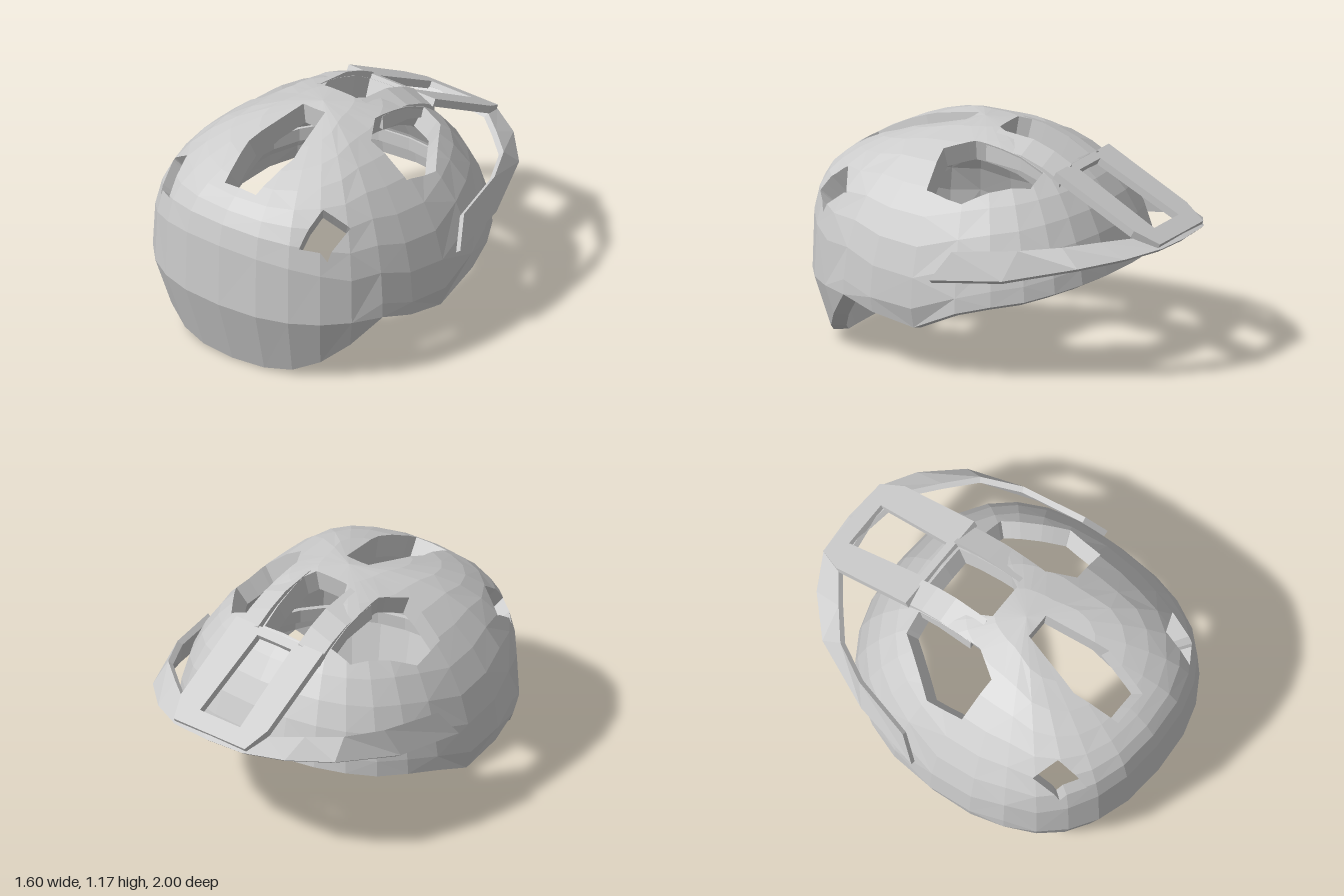
import * as THREE from 'three';

const V = (x, y, z) => new THREE.Vector3(x, y, z);
const BASE = 0.35, HIGH = 0.82, ZC = 0.15;
const CORE = V(0, 0.05, ZC);
const COLS = 28, ROWS = 8;

const material = (double) => new THREE.MeshStandardMaterial({
  color: 0xcccccc, flatShading: true, side: double ? THREE.DoubleSide : THREE.FrontSide,
});

// Builds a flat-shaded mesh from convex polygons
function polyMesh(name, polys, double) {
  const pos = [];
  for (const p of polys) {
    for (let i = 1; i < p.length - 1; i++) {
      for (const v of [p[0], p[i], p[i + 1]]) pos.push(v.x, v.y, v.z);
    }
  }
  const g = new THREE.BufferGeometry();
  g.setAttribute('position', new THREE.Float32BufferAttribute(pos, 3));
  g.computeVertexNormals();
  const m = new THREE.Mesh(g, material(double));
  m.name = name;
  return m;
}

// Rounded egg outline seen from above
function outline(a) {
  const p = (v) => Math.sign(v) * Math.pow(Math.abs(v), 2 / 2.4);
  return { x: 0.79 * p(Math.sin(a)), z: 0.85 * p(Math.cos(a)) };
}

// Height of the lower rim along the length: low nape, notch, ear guard, rising brow
const RIM = [[-0.7, 0.51], [-0.4, 0.43], [-0.2, 0.4], [-0.05, 0.35], [0.12, 0.25], [0.3, 0.27],
  [0.57, 0.36], [0.72, 0.21], [0.86, 0.08], [0.93, 0.03], [1, 0]];
function rimHeight(z) {
  const i = Math.max(1, RIM.findIndex(([rz]) => z <= rz + 1e-6));
  const [z0, y0] = RIM[i - 1], [z1, y1] = RIM[i];
  return y0 + (y1 - y0) * (z - z0) / (z1 - z0);
}

// One column of the dome, from rim to crown; the back is upright with a sloping top
function column(i) {
  const a = (i / COLS) * Math.PI * 2;
  const o = outline(a);
  const f = Math.cos(a);
  const back = f > 0 ? f * f : 0;
  const n = 2 + (f > 0 ? 2 : 0.2) * f * f;
  const rim = rimHeight(ZC + o.z);
  const at = (c, y) => V(o.x * c, y, ZC + o.z * c);
  const y0 = Math.max(rim + 0.08, 0.36);
  const phi0 = Math.asin(Math.pow((y0 - BASE) / HIGH, n / 2));
  const rimSpread = rim < BASE ? 1 - 0.38 * (BASE - rim)
    : Math.pow(1 - Math.pow((rim - BASE) / HIGH, n), 1 / n);
  const pts = [at(rimSpread, rim)];
  for (let j = 0; j < ROWS; j++) {
    const phi = phi0 + (Math.PI / 2 - phi0) * j / ROWS;
    const c = Math.pow(Math.cos(phi), 2 / n);
    const drop = 0.17 * back * c * (1 - Math.pow(c, 8));
    pts.push(at(c, BASE + HIGH * Math.pow(Math.sin(phi), 2 / n) - drop));
  }
  pts.push(V(0, BASE + HIGH, ZC));
  return pts;
}

// Vent openings in plan (x, z); the side ones are mirrored
const SIDE_VENTS = [
  [[0.27, -0.33], [0.385, -0.32], [0.585, -0.03], [0.565, 0.18], [0.35, 0.2], [0.265, 0.06]],
  [[0.44, 0.7], [0.57, 0.64], [0.54, 0.79], [0.42, 0.87]],
];
const VENTS = [
  [[-0.12, -0.38], [0.12, -0.38], [0.13, -0.05], [0.1, 0.01], [-0.1, 0.01], [-0.13, -0.05]],
  [[-0.07, 0.22], [0.07, 0.22], [0.145, 0.57], [0.1, 0.82], [-0.1, 0.82], [-0.145, 0.57]],
  ...SIDE_VENTS, ...SIDE_VENTS.map((h) => h.map(([x, z]) => [-x, z]).reverse()),
];
const sideOf = (p, [ax, az], [bx, bz]) => (bx - ax) * (p.z - az) - (bz - az) * (p.x - ax);

// Splits a polygon by a vertical plane
function split(poly, a, b) {
  const inside = [], outside = [];
  poly.forEach((p, i) => {
    const q = poly[(i + 1) % poly.length];
    const dp = sideOf(p, a, b), dq = sideOf(q, a, b);
    if (dp >= -1e-9) inside.push(p);
    if (dp <= 1e-9) outside.push(p);
    if ((dp > 1e-9 && dq < -1e-9) || (dp < -1e-9 && dq > 1e-9)) {
      const c = p.clone().lerp(q, dp / (dp - dq));
      inside.push(c);
      outside.push(c);
    }
  });
  return { inside, outside };
}

// Thick shell: dome with vents cut out, liner, vent walls and rim
function shell() {
  const group = new THREE.Group();
  group.name = 'helmetShell';
  const inner = (p) => p.clone().sub(CORE).multiplyScalar(0.9).add(CORE);
  const cols = Array.from({ length: COLS }, (_, i) => column(i));
  const lower = [], rim = [], walls = [];
  let dome = [];
  for (let i = 0; i < COLS; i++) {
    const A = cols[i], B = cols[(i + 1) % COLS];
    rim.push([B[0], A[0], inner(A[0]), inner(B[0])]);
    for (let j = 0; j <= ROWS; j++) {
      const skin = j ? dome : lower;
      if (j === ROWS) skin.push([A[j], B[j], A[j + 1]]);
      else if ((i + j) % 2) skin.push([A[j], B[j], B[j + 1]], [A[j], B[j + 1], A[j + 1]]);
      else skin.push([A[j], B[j], A[j + 1]], [B[j], B[j + 1], A[j + 1]]);
    }
  }
  for (const vent of VENTS) {
    const edges = vent.map((p, i) => [p, vent[(i + 1) % vent.length]]);
    const kept = [];
    for (const tri of dome) {
      let rest = tri;
      const pieces = [];
      for (const [a, b] of edges) {
        const s = split(rest, a, b);
        if (s.outside.length > 2) pieces.push(s.outside);
        rest = s.inside;
        if (rest.length < 3) break;
      }
      if (rest.length < 3) { kept.push(tri); continue; }
      kept.push(...pieces);
      rest.forEach((p, i) => {
        const q = rest[(i + 1) % rest.length];
        const onEdge = edges.some(([a, b]) =>
          Math.abs(sideOf(p, a, b)) < 1e-7 && Math.abs(sideOf(q, a, b)) < 1e-7);
        if (onEdge) walls.push([p, q, inner(q), inner(p)]);
      });
    }
    dome = kept;
  }
  const skin = [...lower, ...dome];
  group.add(polyMesh('outerShell', skin));
  group.add(polyMesh('innerLiner', skin.map((p) => p.map(inner).reverse())));
  group.add(polyMesh('ventWalls', walls, true), polyMesh('lowerRim', rim, true));
  return group;
}

// Joins four-cornered sections into a bar
function loft(name, sections, closed) {
  const polys = [], n = sections.length;
  for (let i = 0; i < (closed ? n : n - 1); i++) {
    const a = sections[i], b = sections[(i + 1) % n];
    for (let k = 0; k < 4; k++) {
      const l = (k + 1) % 4;
      polys.push([a[k], b[k], b[l]], [a[k], b[l], a[l]]);
    }
  }
  if (!closed) polys.push(sections[0], sections[n - 1]);
  return polyMesh(name, polys, true);
}

function visor() {
  const group = new THREE.Group();
  group.name = 'visor';
  // Wraparound brim: outer edge and upper inner edge from centre to tail
  const half = [
    [V(0.22, 0.69, -0.985), V(0.27, 0.74, -0.85)], [V(0.41, 0.67, -0.88), V(0.42, 0.74, -0.73)],
    [V(0.59, 0.64, -0.7), V(0.57, 0.735, -0.6)], [V(0.73, 0.56, -0.34), V(0.67, 0.715, -0.4)],
    [V(0.8, 0.53, 0.04), V(0.745, 0.68, -0.06)],
  ];
  const edges = [...half.map((s) => s.map((p) => V(-p.x, p.y, p.z))).reverse(),
    [V(0, 0.69, -1), V(0, 0.74, -0.89)], ...half];
  const under = (p) => V(p.x * 0.965, p.y - 0.02, p.z * 0.975);
  group.add(loft('brim', edges.map(([o, u]) => [o, u, under(u), under(o)])));

  // Sloping centre panel with a window
  const points = (list) => list.map((p) => new THREE.Vector2(...p));
  const shape = new THREE.Shape(points([[-0.23, 0], [0.23, 0], [0.28, 0.14], [0.28, 0.65],
    [-0.28, 0.65], [-0.28, 0.14]]));
  shape.holes.push(new THREE.Path(points([[-0.13, 0.1], [-0.11, 0.6], [0.11, 0.6], [0.13, 0.1]])));
  const panel = new THREE.Mesh(
    new THREE.ExtrudeGeometry(shape, { depth: 0.04, bevelEnabled: false }), material());
  panel.name = 'visorPanel';
  panel.rotation.x = Math.atan2(0.57, 0.31);
  panel.position.set(0, 0.715, -0.98);
  group.add(panel);

  // Rails running from the panel over the brow, either side of the centre vent
  const tops = [[-0.42, 1.02], [-0.32, 1.075], [-0.2, 1.12], [0, 1.145]];
  for (const s of [1, -1]) {
    group.add(loft('browRail', tops.map(([z, y]) => [V(s * 0.13, y + 0.01, z),
      V(s * 0.265, y - 0.04, z), V(s * 0.27, y - 0.12, z), V(s * 0.13, y - 0.08, z)])));
  }
  return group;
}

// Fit ring inside the shell, and ribs down the inside of the back
function lining() {
  const group = new THREE.Group();
  group.name = 'lining';
  group.add(loft('headband', Array.from({ length: COLS }, (_, i) => {
    const o = outline((i / COLS) * Math.PI * 2);
    const at = (s, h) => V(o.x * s, 0.46 - 0.12 * o.z + h, ZC + o.z * s);
    return [at(0.86, 0), at(0.85, 0.07), at(0.82, 0.07), at(0.82, 0)];
  }), true));
  const path = [[0.2, 1.05], [0.5, 0.985], [0.73, 0.88], [0.84, 0.76], [0.88, 0.6], [0.89, 0.42]];
  for (const x of [0.15, -0.15]) {
    group.add(loft('backRib', path.map(([z, y]) => [V(x - 0.02, y, z), V(x + 0.02, y, z),
      V(x + 0.02, y - 0.03, z - 0.04), V(x - 0.02, y - 0.03, z - 0.04)])));
  }
  return group;
}

export function createModel() {
  const model = new THREE.Group();
  model.name = 'helmet';
  model.add(shell(), visor(), lining());
  return model;
}
